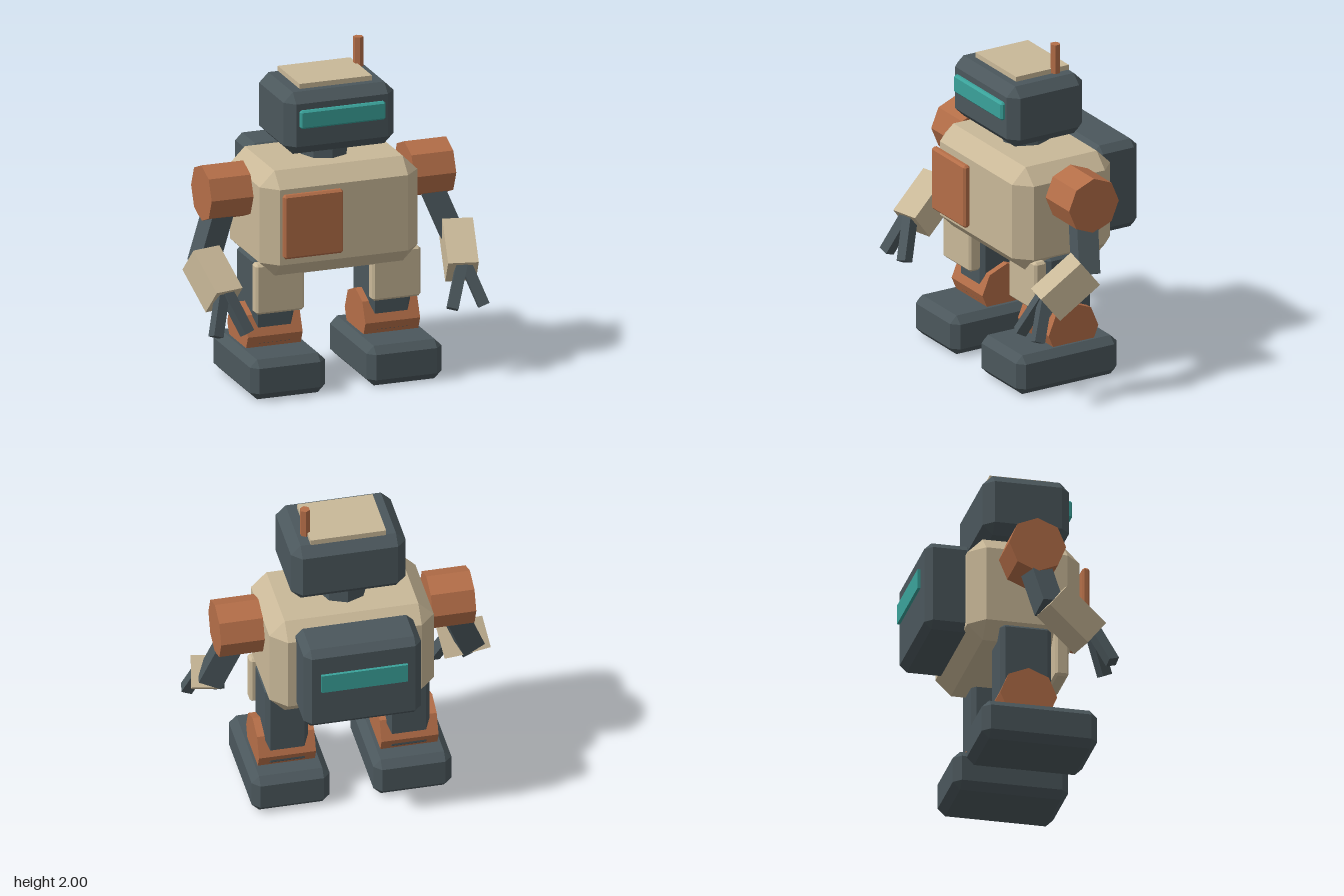
import * as THREE from 'three';
import { ConvexGeometry } from 'three/addons/geometries/ConvexGeometry.js';

const mat = (color) => new THREE.MeshStandardMaterial({ color, flatShading: true });
const dark = mat(0x4b575c), beige = mat(0xc9b898), rust = mat(0xb46e48), teal = mat(0x3aa29a);

export function createModel() {
  const robot = new THREE.Group();
  robot.name = 'robot';

  const add = (name, geometry, material) => {
    const mesh = new THREE.Mesh(geometry, material);
    mesh.name = name;
    robot.add(mesh);
    return mesh;
  };

  // Box from min/max ranges with all edges cut by c: three points per corner
  const block = (name, material, [x0, x1], [y0, y1], [z0, z1], c) => {
    const half = [(x1 - x0) / 2, (y1 - y0) / 2, (z1 - z0) / 2];
    const points = [];
    for (const sx of [-1, 1]) for (const sy of [-1, 1]) for (const sz of [-1, 1]) {
      for (let axis = 0; axis < 3; axis++) {
        const p = half.map((h, i) => (i === axis ? h : h - c));
        points.push(new THREE.Vector3(p[0] * sx, p[1] * sy, p[2] * sz));
      }
    }
    const mesh = add(name, new ConvexGeometry(points), material);
    mesh.position.set((x0 + x1) / 2, (y0 + y1) / 2, (z0 + z1) / 2);
  };

  // Square-ended bar from a to b, its width turned towards the side direction
  const bar = (name, material, a, b, width, depth, side) => {
    const start = new THREE.Vector3(...a), end = new THREE.Vector3(...b);
    const along = end.clone().sub(start);
    const mesh = add(name, new THREE.BoxGeometry(width, along.length(), depth), material);
    const y = along.normalize();
    const z = new THREE.Vector3(...side).cross(y).normalize();
    const x = new THREE.Vector3().crossVectors(y, z);
    mesh.quaternion.setFromRotationMatrix(new THREE.Matrix4().makeBasis(x, y, z));
    mesh.position.copy(start).add(end).multiplyScalar(0.5);
  };

  // Eight-sided drum lying along x
  const drum = (name, x, y, z, radius, length) => {
    const geometry = new THREE.CylinderGeometry(radius, radius, length, 8).rotateZ(Math.PI / 2);
    add(name, geometry, rust).position.set(x, y, z);
  };

  // Torso, chest panel and backpack
  block('torso', beige, [-0.49, 0.49], [0.7, 1.345], [-0.27, 0.4], 0.092);
  block('chestPanel', rust, [-0.395, -0.025], [0.845, 1.235], [0.42, 0.465], 0.013);
  block('backpack', dark, [-0.35, 0.35], [0.78, 1.33], [-0.505, -0.21], 0.042);
  add('backpackLight', new THREE.BoxGeometry(0.515, 0.12, 0.018), teal).position.set(0, 1.12, -0.524);

  // Neck, head and its fittings
  add('neck', new THREE.CylinderGeometry(0.145, 0.145, 0.16, 8), dark).position.set(0, 1.4, 0.065);
  block('head', dark, [-0.342, 0.342], [1.435, 1.812], [-0.15, 0.367], 0.058);
  block('visor', teal, [-0.265, 0.265], [1.605, 1.716], [0.35, 0.392], 0.011);
  add('headPlate', new THREE.BoxGeometry(0.45, 0.05, 0.36), beige).position.set(0, 1.817, 0.085);
  add('antenna', new THREE.CylinderGeometry(0.03, 0.03, 0.18, 6), rust).position.set(0.237, 1.91, 0.005);

  for (const [s, label] of [[1, 'left'], [-1, 'right']]) {
    const range = (a, b) => (s > 0 ? [a, b] : [-b, -a]);
    const m = ([x, y, z]) => [x * s, y, z];
    // Side direction keeps +x so both arms stay right-handed
    const side = [1, 0, 0.22 * s];

    // Arm
    drum(label + 'Shoulder', 0.63 * s, 1.175, 0.065, 0.17, 0.26);
    bar(label + 'UpperArm', dark, m([0.645, 1.1, 0.07]), m([0.775, 0.765, 0.13]), 0.14, 0.13, side);
    bar(label + 'Forearm', beige, m([0.793, 0.81, 0.144]), m([0.739, 0.616, 0.384]), 0.18, 0.19, side);
    bar(label + 'OuterFinger', dark, m([0.755, 0.67, 0.395]), m([0.832, 0.435, 0.495]), 0.065, 0.065, side);
    bar(label + 'InnerFinger', dark, m([0.733, 0.67, 0.395]), m([0.637, 0.435, 0.495]), 0.065, 0.065, side);

    // Leg
    block(label + 'Leg', dark, range(0.235, 0.49), [0.24, 0.785], [-0.09, 0.215], 0.026);
    block(label + 'ThighGuard', beige, range(0.212, 0.512), [0.472, 0.778], [0.232, 0.312], 0.014);
    drum(label + 'Ankle', 0.365 * s, 0.315, 0.065, 0.17, 0.34);
    block(label + 'Foot', dark, range(0.13, 0.595), [0, 0.242], [-0.22, 0.47], 0.044);
  }

  return robot;
}
